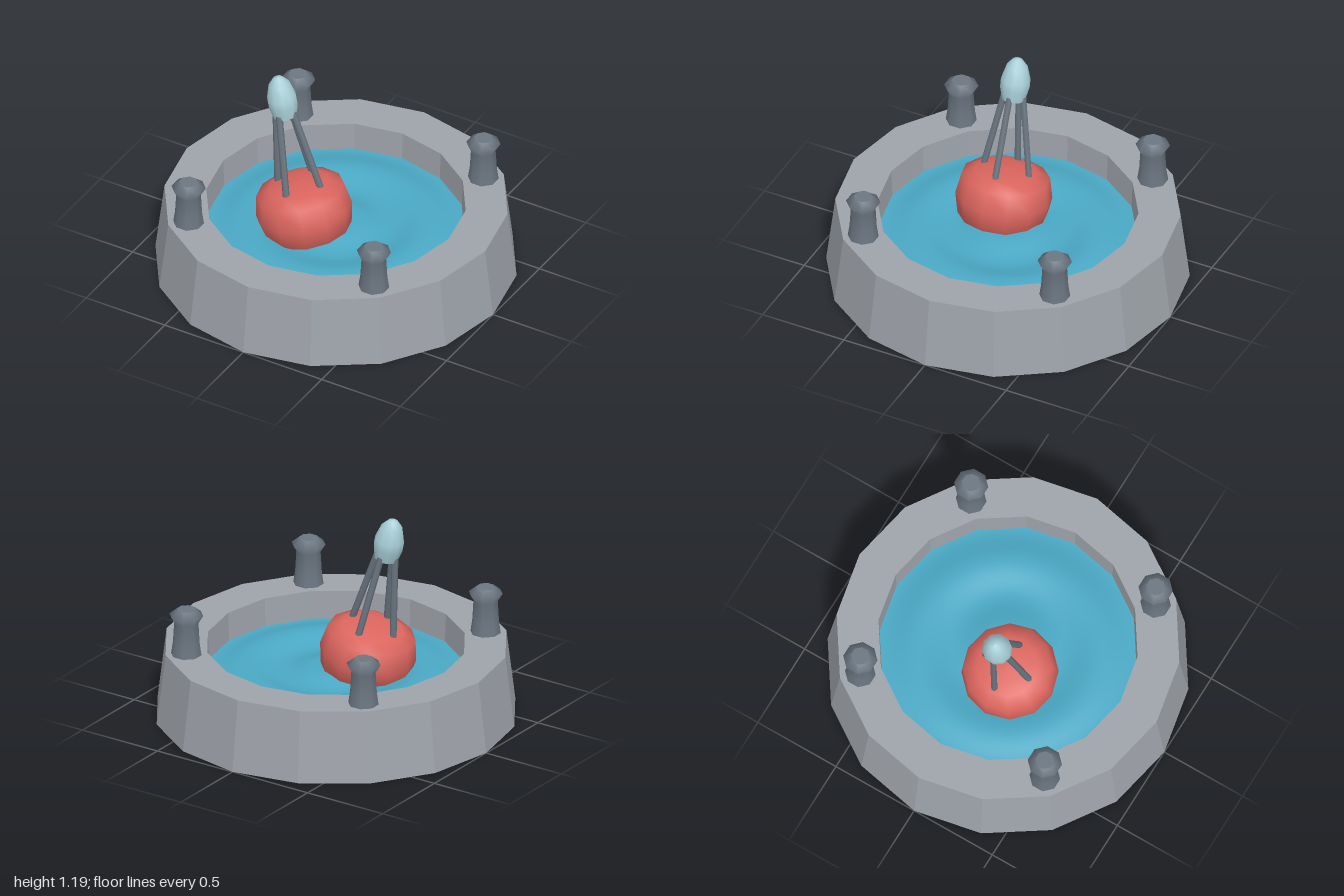
import * as THREE from 'three';

const paint = (name, color, extra = {}) => {
  const m = new THREE.MeshStandardMaterial({ color, ...extra });
  m.name = name;
  return m;
};

// Revolve [radius, height] pairs; points run anticlockwise so faces look outward.
const lathe = (pts, sides) =>
  new THREE.LatheGeometry(pts.map(([r, y]) => new THREE.Vector2(r, y)), sides);

export function createModel() {
  const stone = paint('stone grey', 0x9ea3aa, { flatShading: true });
  const iron = paint('iron grey', 0x6b7681);
  const blue = paint('water blue', 0x4aa8c4, { side: THREE.DoubleSide });
  const red = paint('buoy red', 0xdb655e);
  const glass = paint('lamp glass', 0xa9d0d8);

  const model = new THREE.Group();
  model.name = 'buoyBasin';
  const add = (parent, name, geometry, material) => {
    const mesh = new THREE.Mesh(geometry, material);
    mesh.name = name;
    parent.add(mesh);
    return mesh;
  };

  // Faceted basin with a sloped outer wall and a closed base
  add(model, 'basin', lathe([[0, 0], [1, 0], [0.95, 0.41], [0.718, 0.41], [0.708, 0.14], [0, 0.14]], 16), stone);

  // Rippled water surface, slightly wider than the inner wall so no gap shows
  const ripple = [];
  for (let i = 36; i >= 0; i--) {
    const r = 0.72 * i / 36;
    ripple.push([r, 0.265 + 0.018 * Math.cos((r - 0.1) * Math.PI * 5)]);
  }
  add(model, 'water', lathe(ripple, 48), blue);

  // Four mooring bollards on the rim
  const post = lathe([[0.085, 0], [0.075, 0.07], [0.068, 0.19], [0.095, 0.235], [0.052, 0.27]], 8);
  const postTop = new THREE.CircleGeometry(0.052, 8).rotateX(-Math.PI / 2).translate(0, 0.27, 0);
  for (const x of [-0.59, 0.59]) {
    for (const z of [-0.59, 0.59]) {
      const bollard = new THREE.Group();
      bollard.name = 'bollard';
      bollard.position.set(x, 0.41, z);
      bollard.rotation.y = Math.PI / 8;
      add(bollard, 'bollardPost', post, iron);
      add(bollard, 'bollardTop', postTop, iron);
      model.add(bollard);
    }
  }

  // Leaning buoy
  const buoy = new THREE.Group();
  buoy.name = 'buoy';
  buoy.position.set(-0.145, 0.36, 0.1);
  buoy.rotation.z = 0.2;
  model.add(buoy);

  const half = [[0.268, 0], [0.245, 0.12], [0.17, 0.158], [0.085, 0.174], [0, 0.178]];
  const under = half.slice(1).reverse().map(([r, y]) => [r, -y]);
  add(buoy, 'float', lathe([...under, ...half], 12), red);

  // Four legs converging below the lamp
  const up = new THREE.Vector3(0, 1, 0);
  for (let i = 0; i < 4; i++) {
    const a = i * Math.PI / 2;
    const foot = new THREE.Vector3(0.143 * Math.cos(a), 0.13, 0.143 * Math.sin(a));
    const head = new THREE.Vector3(0.056 * Math.cos(a), 0.625, 0.056 * Math.sin(a));
    const dir = head.clone().sub(foot);
    const leg = add(buoy, 'leg', new THREE.CylinderGeometry(0.019, 0.019, dir.length(), 6), iron);
    leg.position.copy(foot).add(head).multiplyScalar(0.5);
    leg.quaternion.setFromUnitVectors(up, dir.normalize());
  }

  // Pointed lamp with a flat underside
  add(buoy, 'lamp', lathe([[0.066, 0.6], [0.083, 0.67], [0.083, 0.72], [0.06, 0.8], [0.027, 0.84], [0, 0.848]], 10), glass);
  const lampBase = add(buoy, 'lampBase', new THREE.CircleGeometry(0.066, 10), glass);
  lampBase.rotation.x = Math.PI / 2;
  lampBase.position.y = 0.6;

  return model;
}
